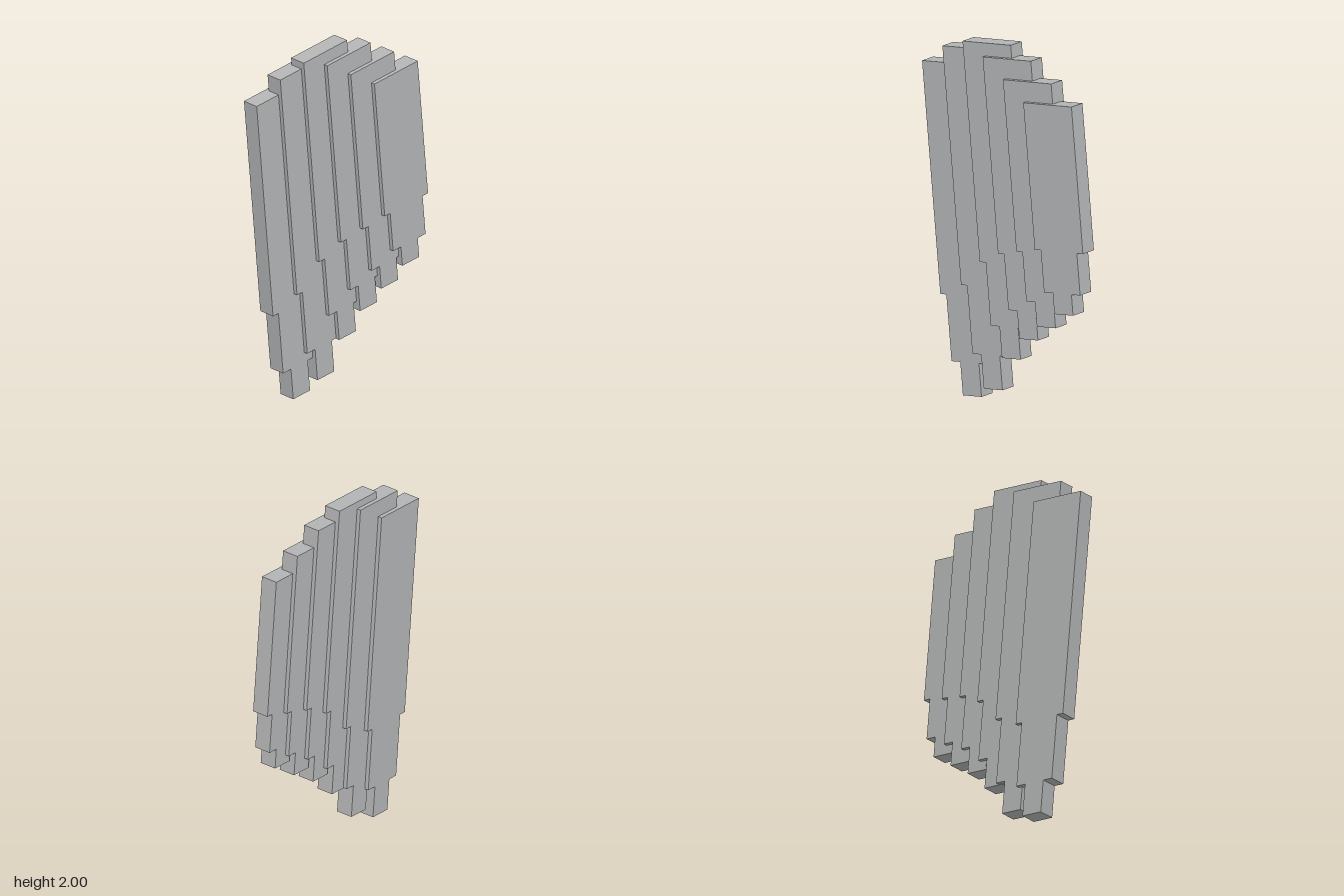
import * as THREE from 'three';

const TILT = 0.096;   // lean of every slat, in radians
const DEPTH = 0.096;  // thickness of a slat

// Stepped slat outline hanging down from its top left corner at the origin
function slatShape(length) {
  const half = 0.1615;
  const steps = [[half, 0, 0.7], [0.121, 0.7, 0.9], [0.0625, 0.9, 1]];
  const right = [];
  for (const [w, from, to] of steps) right.push([w, -from * length], [w, -to * length]);
  const left = right.map(([x, y]) => [-x, y]).reverse();
  return new THREE.Shape([...left, ...right].map(([x, y]) => new THREE.Vector2(x + half, y)));
}

export function createModel() {
  const model = new THREE.Group();
  model.name = 'slatFan';
  const grey = new THREE.MeshStandardMaterial({ color: 0xb4b5b6 });
  grey.name = 'grey';

  // Each slat: top left x, top left y, length
  const slats = [
    [-0.583, 1.8, 1.814],
    [-0.43, 1.912, 1.858],
    [-0.278, 1.969, 1.717],
    [-0.126, 1.912, 1.526],
    [0.027, 1.818, 1.336],
    [0.18, 1.722, 1.142],
  ];
  slats.forEach(([x, y, length], i) => {
    const geometry = new THREE.ExtrudeGeometry(slatShape(length), { depth: DEPTH, bevelEnabled: false });
    const slat = new THREE.Mesh(geometry, grey);
    slat.name = `slat${i + 1}`;
    slat.position.set(x, y, -0.106 + i * 0.0229);
    slat.rotation.z = TILT;
    model.add(slat);
  });
  return model;
}
